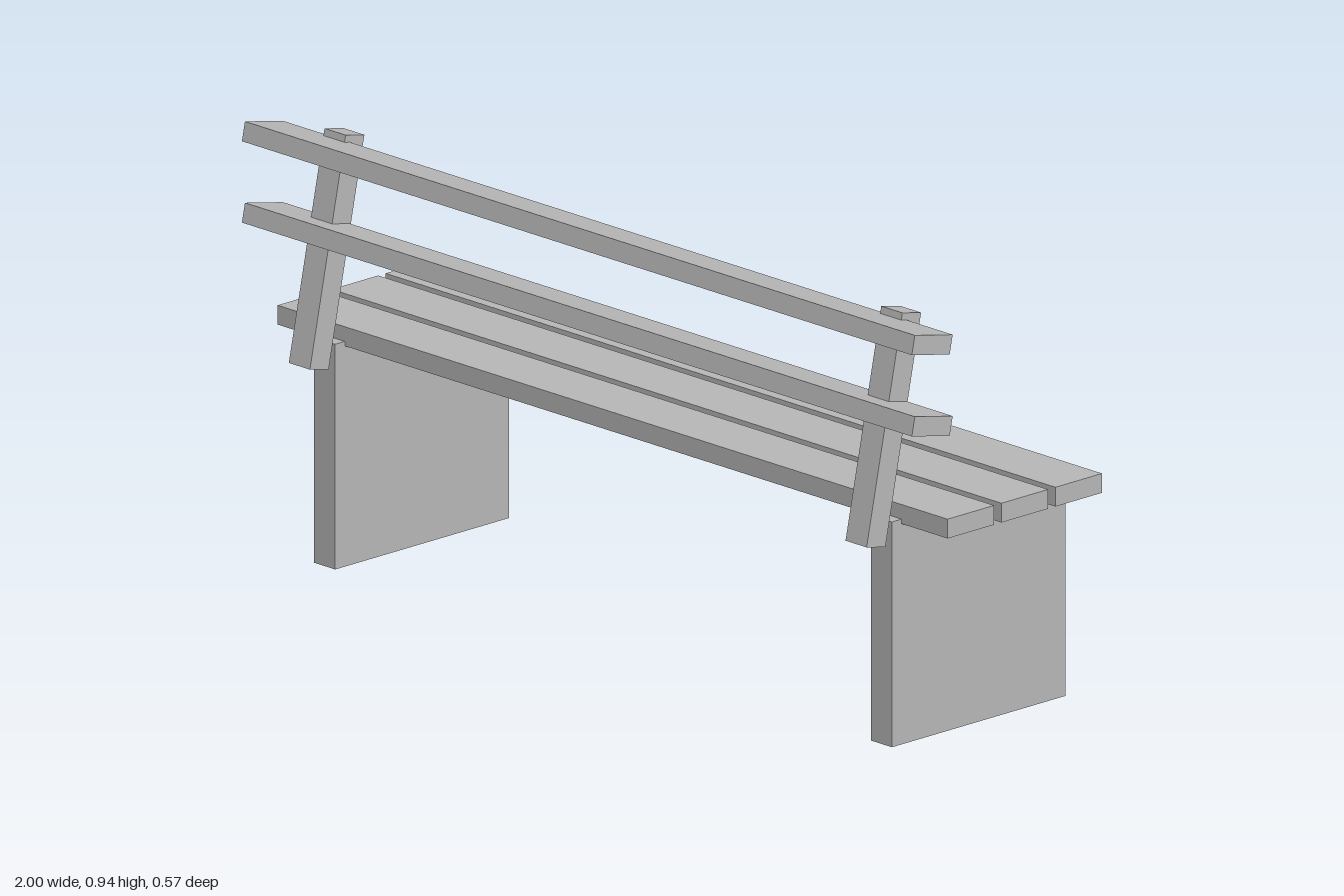
import * as THREE from 'three';

export function createModel() {
  const bench = new THREE.Group();
  bench.name = 'bench';
  const grey = new THREE.MeshStandardMaterial({ color: 0xb8b8b8 });
  grey.name = 'plain grey';

  const addBox = (name, size, position, tilt = 0) => {
    const mesh = new THREE.Mesh(new THREE.BoxGeometry(...size), grey);
    mesh.name = name;
    mesh.position.set(...position);
    mesh.rotation.x = tilt;
    bench.add(mesh);
  };

  const lean = -THREE.MathUtils.degToRad(11.9);

  // Slab legs and leaning back posts, mirrored left and right
  for (const [side, x] of [['left', 0.831], ['right', -0.831]]) {
    addBox(`${side}Leg`, [0.063, 0.49, 0.499], [x, 0.245, -0.037]);
    addBox(`${side}BackPost`, [0.063, 0.498, 0.055], [x, 0.689, 0.207], lean);
  }

  // Three seat slats
  [0.118, -0.037, -0.192].forEach((z, i) =>
    addBox(`seatSlat${i + 1}`, [2, 0.042, 0.134], [0, 0.501, z]));

  // Two rails set square to the leaning posts
  [0.734, 0.911].forEach((y, i) =>
    addBox(`backRail${i + 1}`, [2, 0.042, 0.111], [0, y, 0.229], lean));

  return bench;
}
